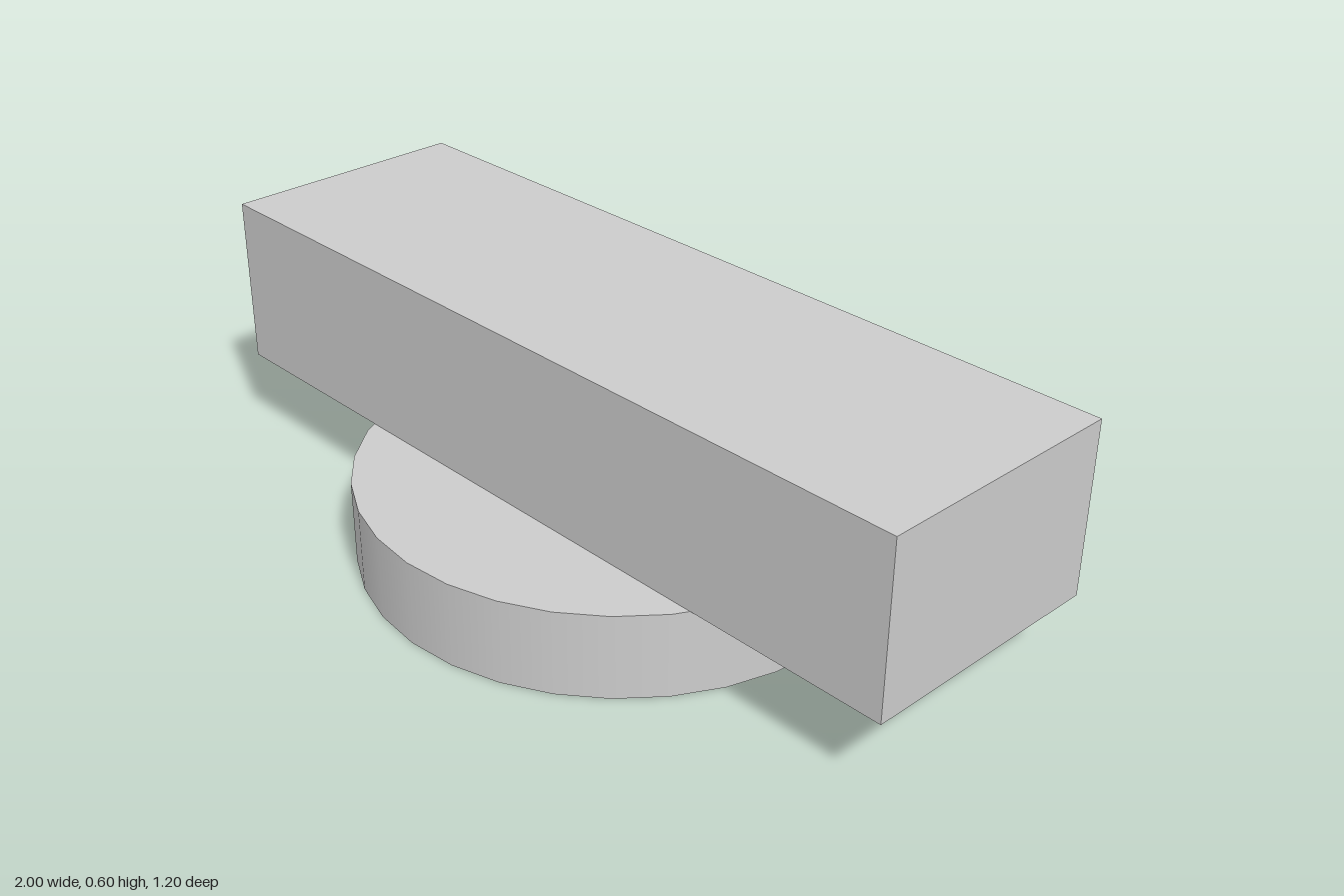
import * as THREE from 'three';

export function createModel() {
  const model = new THREE.Group();
  model.name = 'barOnRoundBase';

  const grey = new THREE.MeshStandardMaterial({ color: 0xcccccc });
  grey.name = 'light grey';

  const addPart = (name, geometry, y) => {
    const mesh = new THREE.Mesh(geometry, grey);
    mesh.name = name;
    mesh.position.y = y;
    model.add(mesh);
  };

  // Round disc standing on the ground
  addPart('roundBase', new THREE.CylinderGeometry(0.6, 0.6, 0.2, 32), 0.1);

  // Long rectangular bar resting on the disc
  addPart('bar', new THREE.BoxGeometry(2, 0.4, 0.6), 0.4);

  return model;
}
